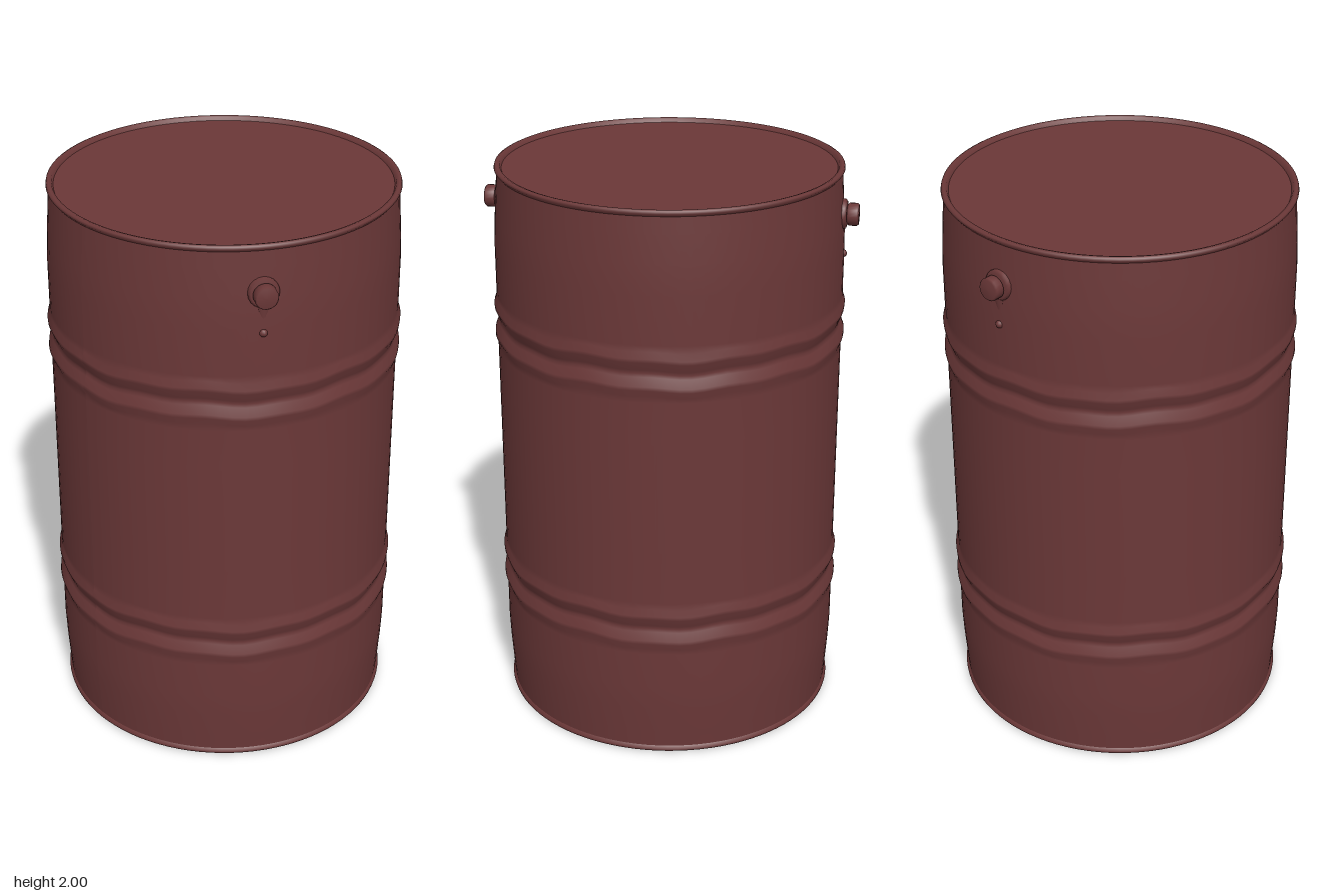
import * as THREE from 'three';

const paint = new THREE.MeshStandardMaterial({ color: 0x6b3838 });
paint.name = 'dull red paint';

// Spun part from [radius, height] pairs, listed from bottom to top of the outside
function spin(name, pairs, segments = 72) {
  const points = pairs.map(([r, y]) => new THREE.Vector2(r, y));
  const mesh = new THREE.Mesh(new THREE.LatheGeometry(points, segments), paint);
  mesh.name = name;
  return mesh;
}

// Pair of rolled ridges with a groove between them
const ribs = (y) => [
  [0.607, y - 0.1], [0.608, y - 0.078], [0.616, y - 0.055], [0.615, y - 0.042],
  [0.603, y - 0.012], [0.6, y], [0.603, y + 0.012],
  [0.615, y + 0.042], [0.616, y + 0.055], [0.608, y + 0.078], [0.607, y + 0.1],
];

// Slightly dented ridges: sway rows near the ribs up and down
function dent(geometry, centres) {
  const p = geometry.attributes.position;
  for (let i = 0; i < p.count; i++) {
    const a = Math.atan2(p.getZ(i), p.getX(i));
    const y = p.getY(i);
    for (const c of centres) {
      if (Math.abs(y - c) > 0.09) continue;
      p.setY(i, y + 0.004 * Math.sin(7 * a + c) + 0.003 * Math.sin(16 * a + 40 * c));
    }
  }
}

// Threaded tap: flange, neck and cap along +z, with a drip below
function makeTap(name) {
  const tap = new THREE.Group();
  tap.name = name;
  const parts = [
    spin('tapFlange', [[0.052, -0.03], [0.052, 0.004], [0.044, 0.012], [0, 0.012]], 20),
    spin('tapNeck', [[0.03, 0], [0.03, 0.03]], 20),
    spin('tapCap', [[0.03, 0.012], [0.039, 0.018], [0.039, 0.046], [0.034, 0.052], [0, 0.053]], 20),
  ];
  for (const part of parts) {
    part.rotation.x = Math.PI / 2;
    tap.add(part);
  }
  const drip = new THREE.Mesh(new THREE.SphereGeometry(0.014, 12, 8), paint);
  drip.name = 'drip';
  drip.position.set(0, -0.14, 0.002);
  const streak = new THREE.Mesh(new THREE.ConeGeometry(0.022, 0.09, 12), paint);
  streak.name = 'dripStreak';
  streak.rotation.x = Math.PI;
  streak.scale.z = 0.35;
  streak.position.set(0, -0.085, 0);
  tap.add(drip, streak);
  return tap;
}

export function createModel() {
  const barrel = new THREE.Group();
  barrel.name = 'barrel';

  // Bulging wall with two double ribs
  const wall = spin('wall', [
    [0.592, 0.02], [0.596, 0.08], [0.603, 0.18], [0.607, 0.27],
    ...ribs(0.505), [0.607, 0.8], [0.607, 1.2],
    ...ribs(1.45), [0.607, 1.72], [0.603, 1.82], [0.596, 1.92], [0.592, 1.98],
  ], 96);
  dent(wall.geometry, [0.505, 1.45]);
  wall.geometry.computeVertexNormals();
  barrel.add(wall);

  // Rolled rims and shallow recessed ends
  barrel.add(
    spin('bottomRim', [[0.576, 0.012], [0.58, 0.003], [0.59, 0], [0.598, 0.004], [0.6, 0.012], [0.592, 0.022]], 96),
    spin('topRim', [[0.592, 1.978], [0.6, 1.988], [0.598, 1.996], [0.59, 2], [0.58, 1.997], [0.574, 1.984]], 96),
    spin('bottomPlate', [[0, 0.012], [0.578, 0.012]], 96),
    spin('lid', [[0.576, 1.985], [0, 1.985]], 96),
  );

  // Opposite taps near the top
  const angle = Math.atan2(0.88, 0.475);
  [['frontTap', angle], ['backTap', angle + Math.PI]].forEach(([name, turn]) => {
    const tap = makeTap(name);
    tap.rotation.y = turn;
    tap.position.set(0.602 * Math.sin(turn), 1.84, 0.602 * Math.cos(turn));
    barrel.add(tap);
  });

  return barrel;
}
